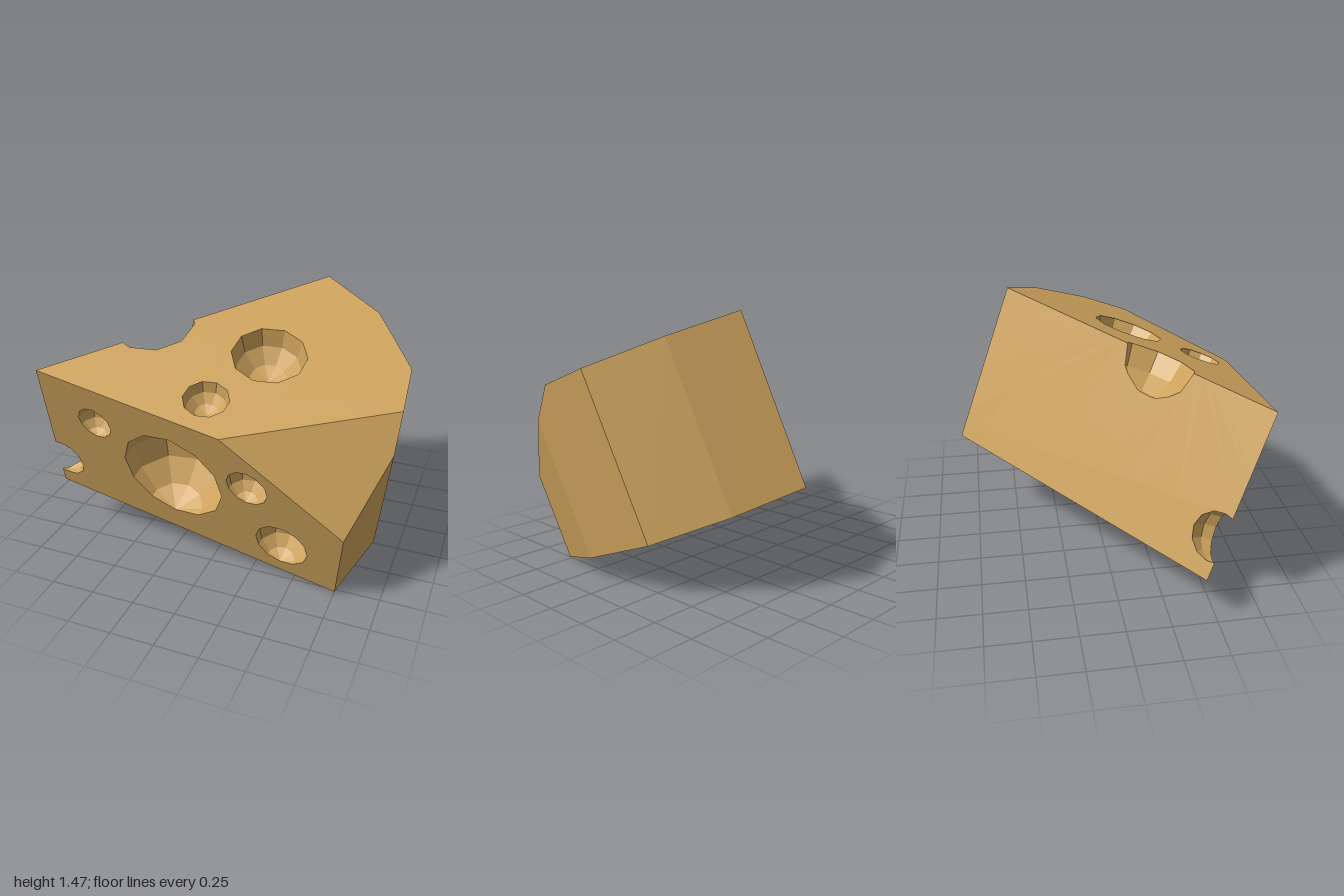
import * as THREE from 'three';

const v = (x, y, z) => new THREE.Vector3(x, y, z);
const lerp = (a, b, t) => a.clone().lerp(b, t);
const EPS = 1e-5;

const planeOf = (p) => new THREE.Plane().setFromCoplanarPoints(p[0], p[1], p[2]);

// Split a convex polygon by a plane into its outer and inner pieces
function split(poly, plane) {
  const outer = [], inner = [];
  const d = poly.map((p) => plane.distanceToPoint(p));
  if (d.every((k) => k <= EPS)) return { inner: poly };
  if (d.every((k) => k >= -EPS)) return { outer: poly };
  poly.forEach((p, i) => {
    const j = (i + 1) % poly.length;
    if (d[i] >= -EPS) outer.push(p);
    if (d[i] <= EPS) inner.push(p);
    if ((d[i] > EPS && d[j] < -EPS) || (d[i] < -EPS && d[j] > EPS)) {
      const q = lerp(p, poly[j], d[i] / (d[i] - d[j]));
      outer.push(q);
      inner.push(q);
    }
  });
  return { outer, inner };
}

// Keep the part of a polygon inside a convex solid
function clipInside(poly, planes) {
  for (const plane of planes) {
    poly = split(poly, plane).inner;
    if (!poly) return null;
  }
  return poly;
}

// Remove a convex solid from a polygon
function subtract(poly, planes) {
  if (!clipInside(poly, planes)) return [poly];
  const kept = [];
  let rest = poly;
  for (const plane of planes) {
    const { outer, inner } = split(rest, plane);
    if (outer) kept.push(outer);
    rest = inner;
  }
  return kept;
}

function polygonMesh(name, polys, material) {
  const points = [];
  for (const p of polys) {
    for (let i = 1; i < p.length - 1; i++) points.push(p[0], p[i], p[i + 1]);
  }
  const geometry = new THREE.BufferGeometry().setFromPoints(points);
  geometry.computeVertexNormals();
  const mesh = new THREE.Mesh(geometry, material);
  mesh.name = name;
  return mesh;
}

export function createModel() {
  const group = new THREE.Group();
  group.name = 'cheeseWedge';
  const material = new THREE.MeshStandardMaterial({ color: 0xcda25c, flatShading: true });

  // Leaning prism: outline of the base, starting at the thin tip
  const rise = v(0.13, 0.89, 0.335);
  const base = [
    v(-1, 0.29, 0.42), v(0.75, 0, 0.52), v(0.88, 0.125, 0.15),
    v(0.85, 0.295, -0.29), v(0.59, 0.46, -0.63), v(0.24, 0.58, -0.82),
  ];
  const top = base.map((p) => p.clone().add(rise));

  // Corners of the slice cut off the front top corner
  const c1 = lerp(top[0], top[1], 0.606);
  const c2 = lerp(base[1], top[1], 0.535);
  const c3 = lerp(base[2], top[2], 0.837);
  const c4 = lerp(top[3], top[2], 0.65);

  const front = [base[0], base[1], c2, c1, top[0]];
  const upper = [top[0], c1, c4, top[3], top[4], top[5]];
  const faces = [
    front,
    upper,
    [base[1], base[2], c3, c2],
    [base[2], base[3], top[3], c4, c3],
    [base[3], base[4], top[4], top[3]],
    [base[4], base[5], top[5], top[4]],
    [base[5], base[0], top[0], top[5]],
    [c1, c2, c3, c4],
    [...base].reverse(),
  ];
  const bodyPlanes = faces.map(planeOf);

  // Hole centres lie on the front or upper face
  const frontPlane = planeOf(front);
  const upperPlane = planeOf(upper);
  const onFront = (x, y) =>
    v(x, y, -(frontPlane.constant + frontPlane.normal.x * x + frontPlane.normal.y * y) / frontPlane.normal.z);
  const onUpper = (x, z) =>
    v(x, -(upperPlane.constant + upperPlane.normal.x * x + upperPlane.normal.z * z) / upperPlane.normal.y, z);
  const holes = [
    ['largeFrontHole', onFront(-0.16, 0.61), 0.315],
    ['upperFrontHole', onFront(0.3, 0.685), 0.122],
    ['lowerFrontHole', onFront(0.455, 0.28), 0.16],
    ['smallFrontHole', onFront(-0.59, 0.88), 0.107],
    ['tipHole', v(-0.93, 0.51, 0.48), 0.14],
    ['largeTopHole', onUpper(0.245, 0.22), 0.207],
    ['smallTopHole', onUpper(0.04, 0.61), 0.123],
    ['edgeHole', onUpper(-0.455, 0.21), 0.243],
  ];

  // Faceted balls, poles along the lean of the wedge
  const up = rise.clone().normalize();
  const side = frontPlane.normal.clone().cross(up).normalize();
  const turn = new THREE.Matrix4().makeBasis(up.clone().cross(side), up, side);

  let skin = faces;
  for (const [name, centre, radius] of holes) {
    const pos = new THREE.SphereGeometry(radius, 10, 6)
      .applyMatrix4(turn)
      .translate(centre.x, centre.y, centre.z)
      .toNonIndexed().getAttribute('position');
    const ball = [];
    for (let i = 0; i < pos.count; i += 3) {
      ball.push([0, 1, 2].map((k) => new THREE.Vector3().fromBufferAttribute(pos, i + k)));
    }
    const ballPlanes = ball.map(planeOf);
    skin = skin.flatMap((p) => subtract(p, ballPlanes));

    // Hollow: the ball surface inside the wedge, turned inward
    const hollow = ball
      .map((p) => clipInside(p, bodyPlanes))
      .filter(Boolean)
      .map((p) => [...p].reverse());
    group.add(polygonMesh(name, hollow, material));
  }
  group.add(polygonMesh('wedgeBody', skin, material));
  return group;
}
